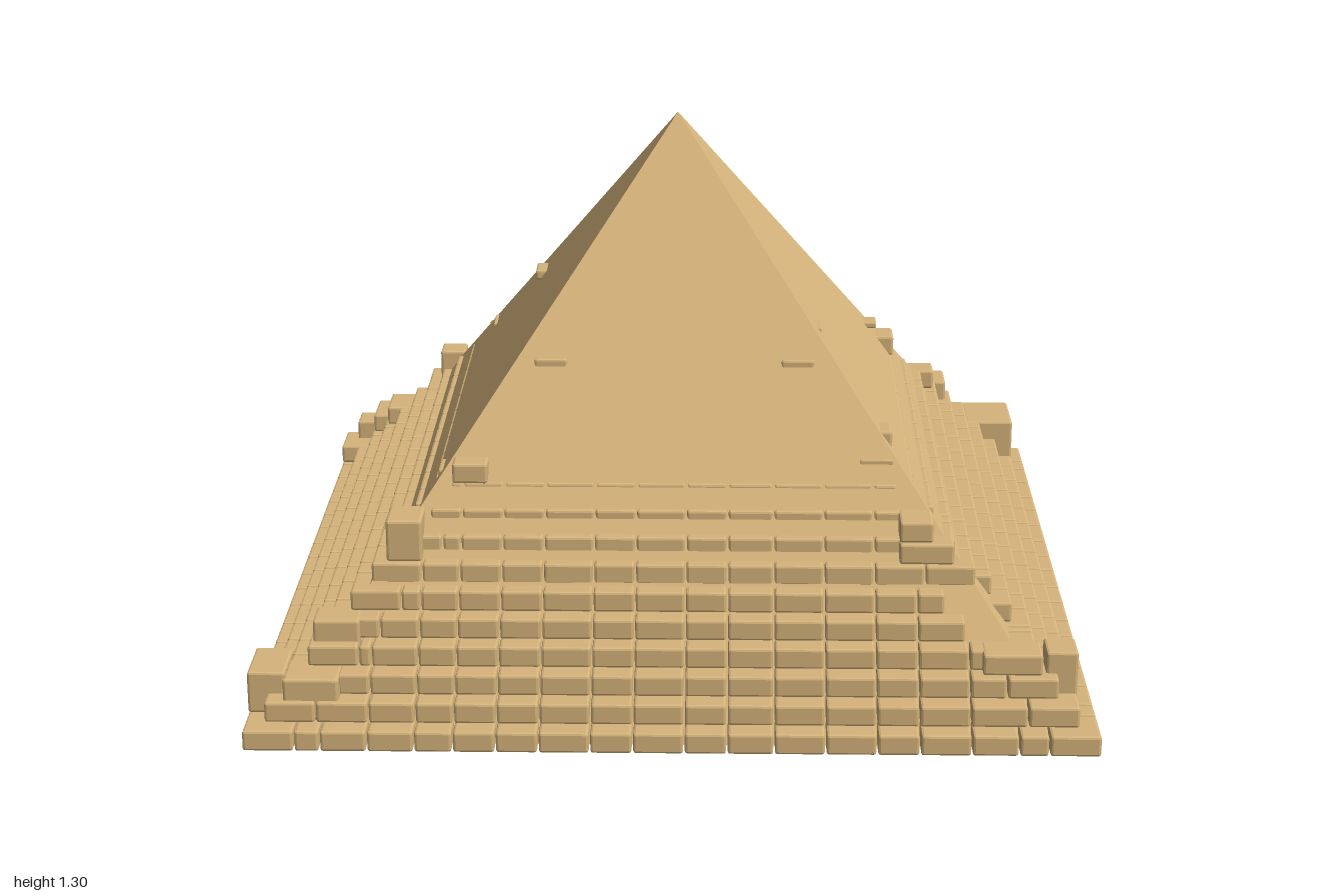
import * as THREE from 'three';
import { mergeGeometries } from 'three/addons/utils/BufferGeometryUtils.js';
import { RoundedBoxGeometry } from 'three/addons/geometries/RoundedBoxGeometry.js';

const LAYER_H = 0.0515, STEP = 0.0466, DEPTH = 0.12, GAP = 0.004;

// One chipped stone block given by its limits
function block(x0, x1, y0, y1, z0, z1) {
  const w = x1 - x0, h = y1 - y0, d = z1 - z0;
  const g = new RoundedBoxGeometry(w, h, d, 1, Math.min(0.006, h * 0.2));
  return g.translate((x0 + x1) / 2, (y0 + y1) / 2, (z0 + z1) / 2);
}

export function createModel() {
  const model = new THREE.Group();
  const stone = new THREE.MeshStandardMaterial({ color: 0xd6b47c, flatShading: true });
  const add = (name, geometry) => {
    const mesh = new THREE.Mesh(geometry, stone);
    mesh.name = name;
    model.add(mesh);
  };

  // Smooth inner pyramid
  const core = new THREE.ConeGeometry(0.95 * Math.SQRT2, 1.3, 4);
  core.rotateY(Math.PI / 4).translate(0, 0.65, 0);
  add('smoothPyramid', core);

  // Courses of blocks: joints line up from one course to the next
  const joints = [-0.82, -0.71, -0.6, -0.51, -0.41, -0.31, -0.19, -0.09, 0.03, 0.13, 0.24, 0.36, 0.48, 0.58, 0.7, 0.81];
  for (let i = 0; i < 10; i++) {
    const half = 1 - i * STEP, y0 = i * LAYER_H, y1 = y0 + LAYER_H - 0.001;
    const end = i >= 8 ? half - 0.04 : half - DEPTH;
    const cuts = [-end, ...joints.filter((j) => Math.abs(j) < end - 0.03), end];
    const parts = [];
    for (let side = 0; side < 4; side++) {
      for (let k = 0; k < cuts.length - 1; k++) {
        const g = block(cuts[k] + GAP / 2, cuts[k + 1] - GAP / 2, y0, y1, half - DEPTH, half);
        parts.push(g.rotateY(side * Math.PI / 2));
      }
      // Corner stone; two are lost at the front left and the top courses have none
      const lost = i >= 8 || (side === 0 && (i === 4 || i === 5));
      if (!lost) {
        const c = block(half - DEPTH + GAP / 2, half, y0, y1, half - DEPTH + GAP / 2, half);
        parts.push(c.rotateY(side * Math.PI / 2));
      }
    }
    add(`course${i + 1}`, mergeGeometries(parts));
  }

  // Larger stones left jutting out at the corners: x0, x1, first course, last course, z0, z1
  const corners = {
    backLeftStones: [
      [0.82, 0.955, 1, 3, -0.96, -0.78], [0.86, 0.92, 1, 2, -0.99, -0.85],
      [0.63, 0.75, 5, 6, -0.79, -0.68], [0.63, 0.71, 7, 7, -0.7, -0.62],
    ],
    backRightStones: [
      [-1, -0.91, 1, 1, -0.96, -0.83], [-0.96, -0.82, 1, 2, -0.99, -0.9],
      [-0.9, -0.8, 3, 3, -0.95, -0.81], [-0.85, -0.74, 4, 4, -0.86, -0.73],
      [-0.72, -0.64, 5, 6, -0.79, -0.71], [-0.68, -0.61, 7, 8, -0.7, -0.62],
    ],
    frontRightStones: [
      [-1, -0.91, 1, 2, 0.75, 0.9], [-0.91, -0.78, 1, 2, 0.82, 0.94],
      [-0.85, -0.74, 3, 4, 0.74, 0.83], [-0.685, -0.6, 7, 8, 0.6, 0.71],
    ],
    frontLeftStones: [
      [0.88, 0.955, 1, 3, 0.78, 0.87], [0.73, 0.87, 3, 3, 0.8, 0.89],
      [0.54, 0.67, 7, 7, 0.6, 0.71], [0.54, 0.62, 8, 8, 0.6, 0.7],
    ],
  };
  for (const [name, list] of Object.entries(corners)) {
    const parts = list.map(([x0, x1, a, b, z0, z1]) =>
      block(x0, x1, a * LAYER_H, (b + 1) * LAYER_H, z0, z1));
    add(name, mergeGeometries(parts));
  }

  // Odd stones poking out of the smooth faces
  const odd = [
    [-0.345, -0.265, 0.745, 0.77, 0.34, 0.4], [0.26, 0.34, 0.745, 0.77, 0.34, 0.4],
    [-0.535, -0.45, 0.515, 0.565, 0.53, 0.59], [-0.575, -0.5, 0.48, 0.53, 0.45, 0.53],
    [0.45, 0.53, 0.55, 0.565, 0.5, 0.545], [0.49, 0.53, 0.575, 0.615, 0.4, 0.48],
    [0.53, 0.585, 0.51, 0.565, -0.54, -0.455], [0.31, 0.36, 0.81, 0.82, 0.21, 0.29],
    [-0.38, -0.33, 0.795, 0.82, -0.29, -0.21], [-0.3, -0.215, 0.77, 0.815, -0.4, -0.35],
    [-0.34, -0.26, 0.755, 0.77, -0.405, -0.36], [0.26, 0.34, 0.755, 0.77, -0.405, -0.36],
    [-0.535, -0.45, 0.515, 0.565, -0.6, -0.54], [0.44, 0.53, 0.515, 0.565, -0.6, -0.54],
    [-0.51, -0.46, 0.605, 0.615, -0.48, -0.4], [0.47, 0.535, 0.6, 0.615, -0.48, -0.42],
  ];
  add('looseStones', mergeGeometries(odd.map((o) => block(...o))));

  return model;
}
